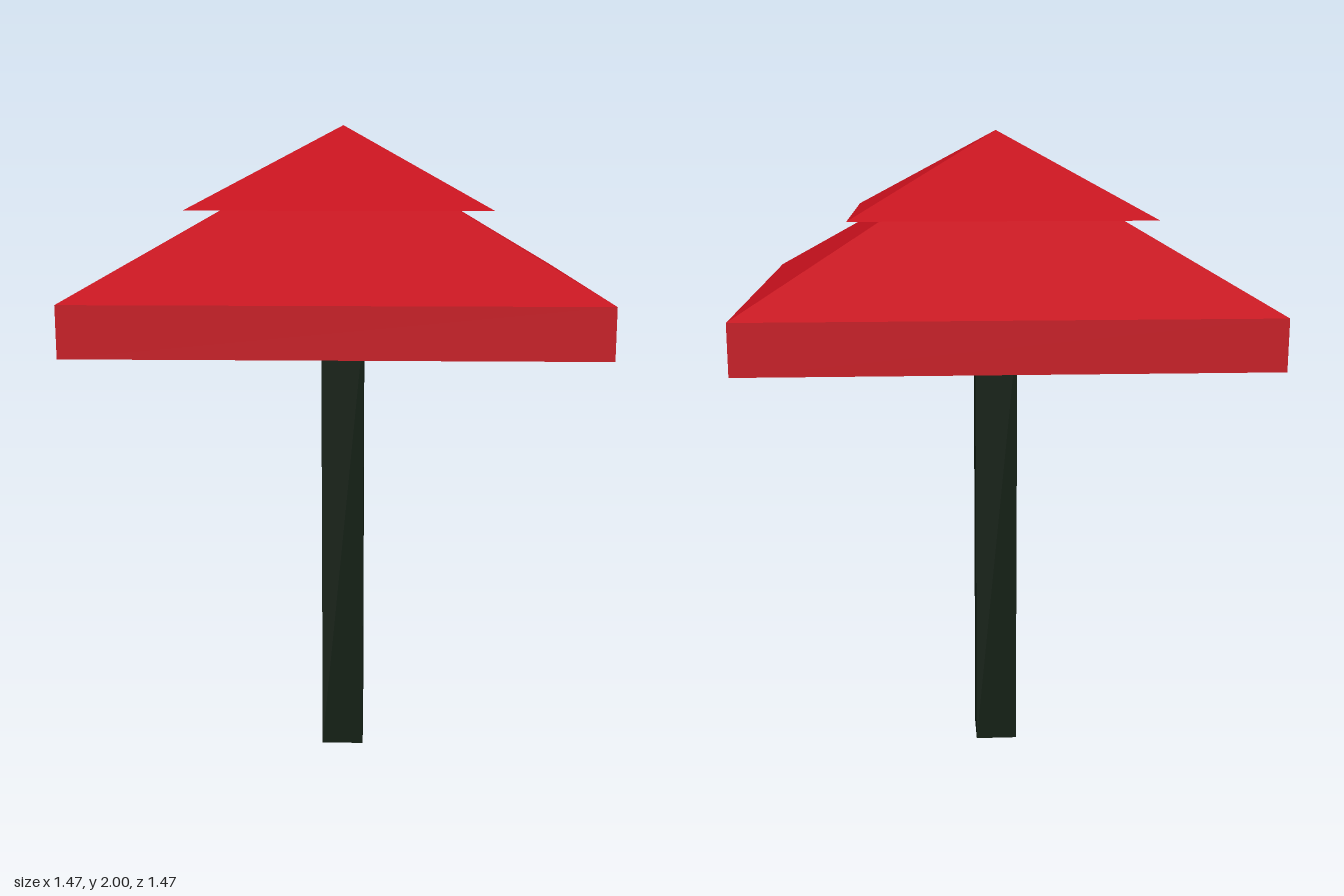
import * as THREE from 'three';

const red = new THREE.MeshStandardMaterial({ color: 0xc4101c, flatShading: true });
const darkGreen = new THREE.MeshStandardMaterial({ color: 0x0f1c10, flatShading: true });

function box(name, size, position, material) {
  const mesh = new THREE.Mesh(new THREE.BoxGeometry(...size), material);
  mesh.name = name;
  mesh.position.set(...position);
  return mesh;
}

// Square pyramid with its sides parallel to x and z
function pyramid(name, half, bottom, top, material) {
  const geometry = new THREE.ConeGeometry(half * Math.SQRT2, top - bottom, 4);
  geometry.rotateY(Math.PI / 4);
  const mesh = new THREE.Mesh(geometry, material);
  mesh.name = name;
  mesh.position.y = (bottom + top) / 2;
  return mesh;
}

export function createModel() {
  const model = new THREE.Group();
  model.name = 'parasol';

  // Square post, set slightly towards the front
  model.add(box('post', [0.132, 1.38, 0.132], [0, 0.69, 0.024], darkGreen));

  // Canopy: straight rim, main roof and overhanging top cap
  const canopy = new THREE.Group();
  canopy.name = 'canopy';
  canopy.add(
    box('canopyRim', [1.474, 0.144, 1.474], [0, 1.448, 0], red),
    pyramid('lowerRoof', 0.737, 1.52, 1.955, red),
    pyramid('topCap', 0.438, 1.755, 2, red),
  );
  model.add(canopy);
  return model;
}
